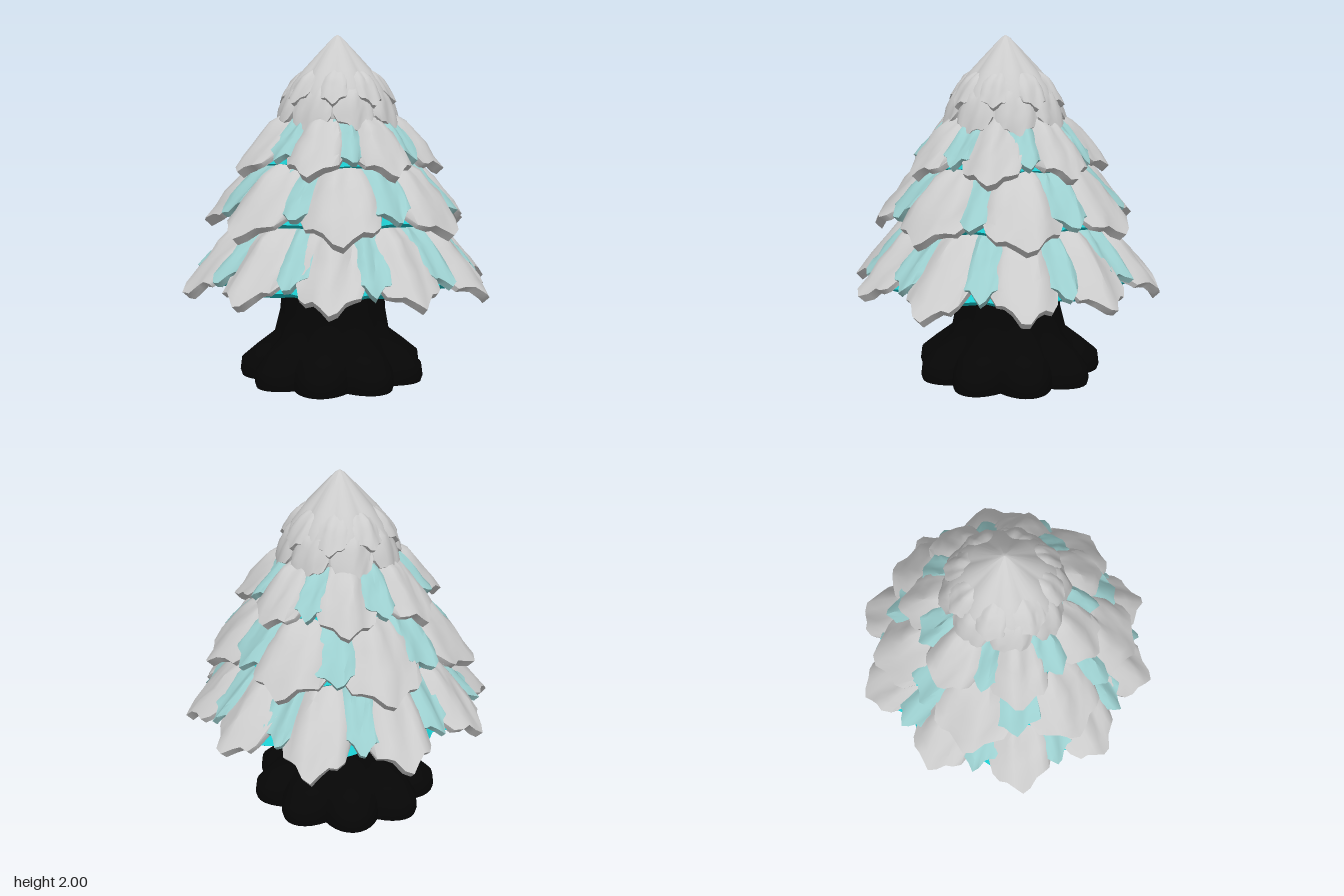
import * as THREE from 'three';
import { toCreasedNormals } from 'three/addons/utils/BufferGeometryUtils.js';

const snow = new THREE.MeshStandardMaterial({ color: 0xcccccc });
const frost = new THREE.MeshStandardMaterial({ color: 0x9ccfcf });
const teal = new THREE.MeshStandardMaterial({ color: 0x1cccd0 });
const bark = new THREE.MeshStandardMaterial({ color: 0x060606 });
for (const m of [snow, frost, teal, bark]) m.side = THREE.DoubleSide;

// small seeded random, -1..1
let seed = 7;
const rnd = () => {
  seed = (seed * 16807) % 2147483647;
  return (seed / 2147483647) * 2 - 1;
};

const polar = (r, y, a) => [r * Math.sin(a), y, r * Math.cos(a)];

// surface from a rule point(i, j) on a grid of rows and columns
function grid(rows, cols, point) {
  const pos = [], idx = [];
  for (let i = 0; i <= rows; i++)
    for (let j = 0; j <= cols; j++) pos.push(...point(i, j));
  for (let i = 0; i < rows; i++)
    for (let j = 0; j < cols; j++) {
      const a = i * (cols + 1) + j, b = a + cols + 1;
      idx.push(a, b, a + 1, b, b + 1, a + 1);
    }
  const g = new THREE.BufferGeometry();
  g.setAttribute('position', new THREE.Float32BufferAttribute(pos, 3));
  g.setIndex(idx);
  return toCreasedNormals(g, 0.9);
}

// turned profile [radius, height, lobe depth], running from the top down and under
function lobedLathe(profile, lobes, phase) {
  const segs = 90;
  return grid(profile.length - 1, segs, (i, j) => {
    const a = ((j % segs) / segs) * Math.PI * 2;
    const [r, y, depth = 0] = profile[i];
    const wave = 2 * Math.abs(Math.cos((lobes / 2) * (a - phase))) - 1;
    return polar(r + depth * wave, y, a);
  });
}

// one bough: an arched, ridged petal with a scalloped tip and some thickness
function bough(tier, angle, half, reach, lift, thick) {
  const rows = 7, cols = 10;
  const [r0, y0] = tier.from, [r1, y1] = tier.to;
  const len = Math.hypot(r1 - r0, y1 - y0);
  const nr = (y0 - y1) / len, ny = (r1 - r0) / len;
  const skew = rnd() * 0.8, fold = rnd() * Math.PI, size = reach * (1 + rnd() * 0.03);
  const rough = tier.rough;
  const bump = [];
  for (let k = 0; k < (rows + 2) * (cols + 1); k++) bump.push(rnd() * 0.7 * rough);

  return grid(rows + 1, cols * 2, (i, j) => {
    const jj = j <= cols ? j : cols * 2 - j;
    const under = j > cols || i > rows;
    const s = Math.min(i, rows) / rows, t = (jj / cols) * 2 - 1;
    const tip = 1 - 0.27 * t * t + 0.045 * Math.cos(t * Math.PI * 2.5 + skew) * s;
    const d = s * tip * size;
    const width = 0.45 + 0.65 * Math.sin(Math.min(1, s * 1.25) * 1.75) - 0.16 * s;
    const a = angle + t * half * width;
    const grow = Math.min(1, s * 2.5);
    const ridge = rough * Math.cos(t * 6 + fold + s * 2);
    let h = lift * (1 - 1.3 * t * t) * (1 - 0.35 * s) + ridge + bump[i * (cols + 1) + jj];
    h = grow * h - 0.025 * (1 - grow) + tier.bulge * 4 * d * (1 - d);
    if (i > rows) h -= thick * 0.55;
    else if (under) h -= thick * (0.35 + 0.65 * (1 - t * t));
    return polar(r0 + (r1 - r0) * d + nr * h, y0 + (y1 - y0) * d + ny * h, a);
  });
}

function add(parent, name, geometry, material) {
  const mesh = new THREE.Mesh(geometry, material);
  mesh.name = name;
  parent.add(mesh);
  return mesh;
}

const deg = Math.PI / 180;
// from / to: [radius, height] of the bough root and tip
const tiers = [
  { name: 'bottomTier', n: 10, phase: 90, half: 0.28, from: [0.38, 1.07], to: [0.87, 0.55], bulge: 0.01, rough: 0.012 },
  { name: 'lowerMiddleTier', n: 7, phase: 4, half: 0.4, from: [0.28, 1.38], to: [0.735, 0.91], bulge: 0.02, rough: 0.012 },
  { name: 'upperMiddleTier', n: 7, phase: -16, half: 0.4, from: [0.18, 1.63], to: [0.56, 1.23], bulge: 0.015, rough: 0.011 },
];

export function createModel() {
  seed = 7;
  const tree = new THREE.Group();
  tree.name = 'snowyTree';

  // trunk with spreading root lobes, set slightly back
  const trunk = add(tree, 'trunk', lobedLathe([
    [0.29, 0.7], [0.3, 0.58], [0.31, 0.4], [0.335, 0.26, 0.01], [0.42, 0.18, 0.03],
    [0.49, 0.105, 0.05], [0.5, 0.03, 0.05], [0.49, 0, 0.05], [0.25, 0.012, 0.03], [0, 0.03],
  ], 9, Math.PI), bark);
  trunk.position.set(-0.008, 0, -0.03);

  for (const tier of tiers) {
    const g = new THREE.Group();
    g.name = tier.name;
    tree.add(g);
    const [r0, y0] = tier.from, [r1, y1] = tier.to;
    const phase = tier.phase * deg, step = (Math.PI * 2) / tier.n;
    const mix = (k) => [r0 + (r1 - r0) * k - 0.02, y0 + (y1 - y0) * k - 0.015];

    // foliage skirt with a nearly flat underside
    add(g, 'foliageSkirt', lobedLathe([
      [0.05, y0 + 0.06], [...mix(0), 0.005], [...mix(0.3), 0.012], [...mix(0.6), 0.025],
      [...mix(0.82), 0.045], [r1 * 0.8, y1 + 0.045, 0.045], [r1 * 0.6, y1 + 0.06, 0.01],
      [0.27, y1 + 0.08], [0.05, y1 + 0.09],
    ], tier.n, phase), teal);

    for (let k = 0; k < tier.n; k++) {
      const a = phase + k * step;
      add(g, 'snowBough', bough(tier, a + rnd() * 0.04, tier.half, 1, 0.06, 0.055), snow);
      add(g, 'frostBough', bough(tier, a + step / 2, tier.half * 0.75, 0.82, 0.028, 0.04), frost);
    }
  }

  // snow cap: smooth peak breaking into overlapping petals at the rim
  const cap = new THREE.Group();
  cap.name = 'snowCap';
  tree.add(cap);
  add(cap, 'peak', lobedLathe([
    [0, 2], [0.025, 1.985], [0.1, 1.905, 0.003], [0.19, 1.805, 0.008], [0.255, 1.72, 0.012],
    [0.295, 1.63, 0.016], [0.32, 1.54, 0.02], [0.3, 1.515, 0.02], [0.2, 1.53], [0.05, 1.55],
  ], 8, 0.2), snow);
  const petals = { from: [0.19, 1.79], to: [0.355, 1.475], bulge: 0.025, rough: 0.006 };
  const upperPetals = { from: [0.15, 1.84], to: [0.325, 1.62], bulge: 0.015, rough: 0.005 };
  for (let k = 0; k < 8; k++) {
    const a = 0.2 + (k * Math.PI) / 4;
    add(cap, 'capPetal', bough(petals, a, 0.4, 1, 0.02, 0.035), snow);
    add(cap, 'upperCapPetal', bough(upperPetals, a + Math.PI / 8, 0.34, 1, 0.016, 0.03), snow);
  }
  return tree;
}
